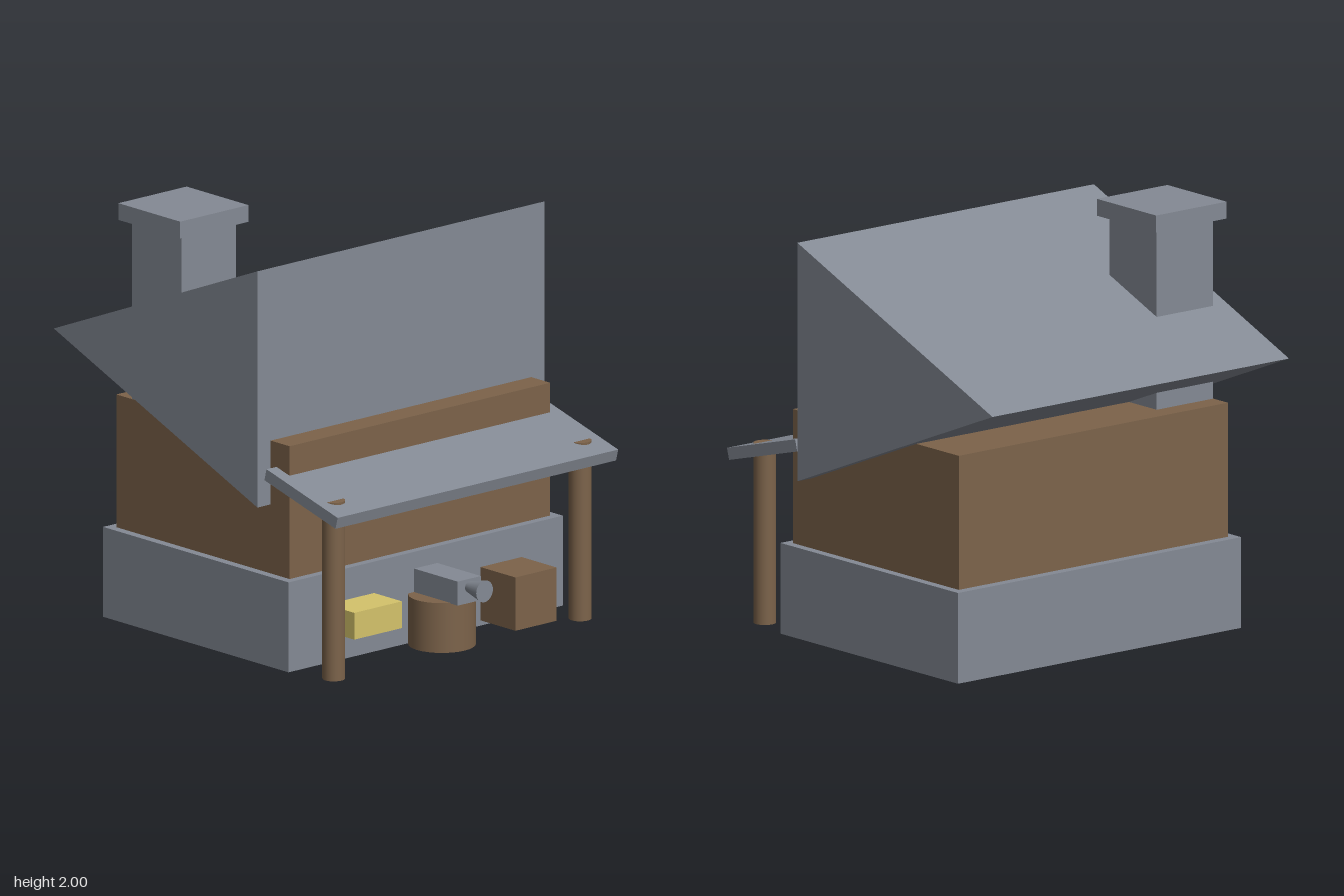
import * as THREE from 'three';

export function createModel() {
  const model = new THREE.Group();
  model.name = 'smithy';

  const stone = new THREE.MeshStandardMaterial({ name: 'slate grey', color: 0x848a94 });
  const wood = new THREE.MeshStandardMaterial({ name: 'timber brown', color: 0x7c634a });
  const brass = new THREE.MeshStandardMaterial({ name: 'straw yellow', color: 0xd4c36b });

  function add(name, geometry, material, x = 0, y = 0, z = 0) {
    const mesh = new THREE.Mesh(geometry, material);
    mesh.name = name;
    mesh.position.set(x, y, z);
    model.add(mesh);
    return mesh;
  }

  // Box given by its lower and upper limits on each axis
  function addBox(name, material, [x0, x1], [y0, y1], [z0, z1]) {
    return add(name, new THREE.BoxGeometry(x1 - x0, y1 - y0, z1 - z0), material,
      (x0 + x1) / 2, (y0 + y1) / 2, (z0 + z1) / 2);
  }

  // House body
  addBox('foundation', stone, [-0.85, 0.85], [0, 0.43], [-0.69, 0.585]);
  addBox('walls', wood, [-0.808, 0.808], [0.43, 1.065], [-0.645, 0.545]);

  // Roof: a triangular prism running along x, with its ridge pointing back
  const profile = new THREE.Shape([
    new THREE.Vector2(-0.415, 0.76),
    new THREE.Vector2(0.985, 1.325),
    new THREE.Vector2(-0.415, 1.89),
  ]);
  const roofGeometry = new THREE.ExtrudeGeometry(profile, { depth: 1.78, bevelEnabled: false });
  roofGeometry.translate(0, 0, -0.89).rotateY(Math.PI / 2);
  add('roof', roofGeometry, stone);

  // Chimney, kept just inside the wall face
  addBox('chimneyStack', stone, [-0.806, -0.468], [0.45, 1.92], [-0.54, -0.2]);
  addBox('chimneyCap', stone, [-0.85, -0.427], [1.92, 2], [-0.585, -0.16]);

  // Sloping porch roof on two posts
  const awning = add('awning', new THREE.BoxGeometry(1.74, 0.057, 0.506), stone, 0, 0.855, 0.6925);
  awning.rotation.x = THREE.MathUtils.degToRad(15);
  for (const side of [-1, 1]) {
    add(side < 0 ? 'rightPost' : 'leftPost',
      new THREE.CylinderGeometry(0.053, 0.053, 0.853, 24), wood, side * 0.764, 0.4265, 0.8);
  }

  // Anvil on a stump
  add('stump', new THREE.CylinderGeometry(0.156, 0.156, 0.238, 32), wood, 0, 0.119, 0.697);
  addBox('anvilBody', stone, [-0.072, 0.072], [0.235, 0.35], [0.58, 0.885]);
  const horn = add('anvilHorn', new THREE.CylinderGeometry(0.052, 0.025, 0.11, 24), stone, 0, 0.312, 0.935);
  horn.rotation.x = Math.PI / 2;

  // Crate and the small trough against the foundation
  addBox('crate', wood, [0.34, 0.595], [0.025, 0.28], [0.57, 0.825]);
  addBox('trough', brass, [-0.615, -0.32], [0.152, 0.28], [0.575, 0.776]);

  return model;
}
